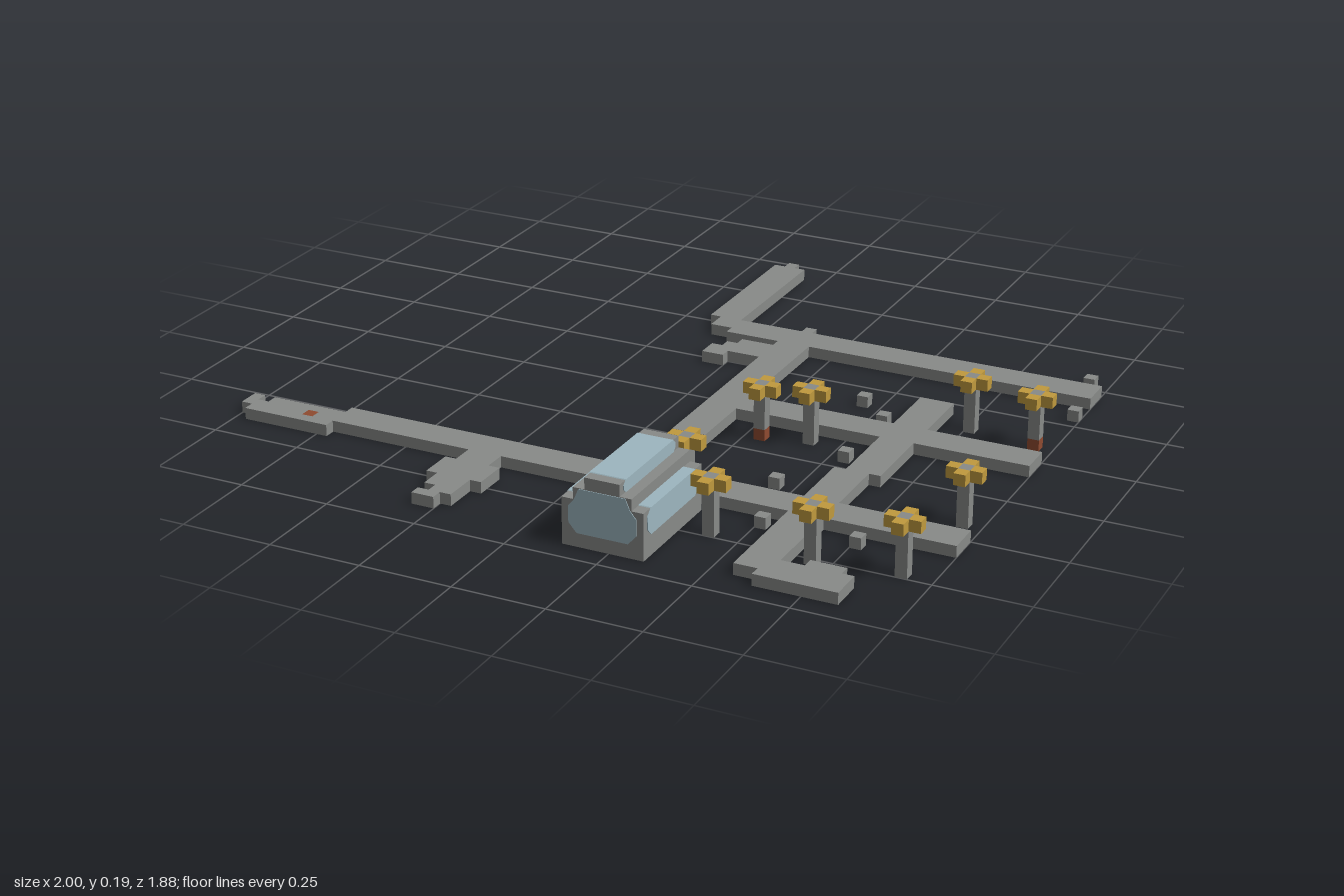
import * as THREE from 'three';

const V = 1 / 32; // one block

export function createModel() {
  const root = new THREE.Group();
  root.name = 'blockSettlement';
  const mat = (name, color) => {
    const m = new THREE.MeshStandardMaterial({ color });
    m.name = name;
    return m;
  };
  const stone = mat('stone', 0x888a88);
  const glass = mat('glass', 0x9db6bf);
  const gold = mat('gold', 0xc09a3e);
  const rust = mat('rust', 0x8f4a30);

  const add = (parent, name, geo, material) => {
    const m = new THREE.Mesh(geo, material);
    m.name = name;
    parent.add(m);
    return m;
  };
  const group = (name) => {
    const g = new THREE.Group();
    g.name = name;
    root.add(g);
    return g;
  };
  // Box given by its limits in blocks
  const block = (parent, name, material, x0, x1, y0, y1, z0, z1) =>
    add(parent, name, new THREE.BoxGeometry((x1 - x0) * V, (y1 - y0) * V, (z1 - z0) * V)
      .translate((x0 + x1) / 2 * V, (y0 + y1) / 2 * V, (z0 + z1) / 2 * V), material);
  // Outline in blocks, extruded along z
  const slab = (points, depth, hole) => {
    const v = (list) => list.map(([x, y]) => new THREE.Vector2(x * V, y * V));
    const shape = new THREE.Shape(v(points));
    if (hole) shape.holes.push(new THREE.Path(v(hole)));
    return new THREE.ExtrudeGeometry(shape, { depth: depth * V, bevelEnabled: false });
  };

  // Paths: x0, x1, z0, z1
  const paths = group('paths');
  [
    [-5, -2, -29, -15], [-4, -3, -30, -29], [-4, -2, -15, -13], // north-west arm
    [-2, 32, -15, -12], [4, 5, -16, -15], // north road
    [3, 6, -12, 9], [0, 3, -11, -8], [-1, 0, -10, -9], [-2, 0, -9, -7], // middle lane and spur
    [6, 19, 0, 3], [22, 32, 0, 3], [19, 22, -6, 10], // crossing
    [18, 21, 10, 16], [6, 32, 16, 19], [18, 21, 19, 27], // south crossing
    [18, 20, 27, 29], [20, 27, 27, 30], [23, 26, 26, 27],
    [-23, 6, 17, 20], [-30, -23, 18, 19], [-30, -23, 20, 21], // west road
    [-30, -26, 19, 20], [-25, -23, 19, 20],
    [-31, -30, 19, 21], [-32, -31, 18, 20],
    [-10, -7, 20, 22], [-11, -6, 22, 25], [-10, -7, 25, 27], // west spur
    [-9, -7, 27, 28], [-10, -8, 28, 29],
  ].forEach(([x0, x1, z0, z1]) => block(paths, 'path', stone, x0, x1, 0, 1, z0, z1));
  block(paths, 'rustBlock', rust, -26, -25, 0, 1, 19, 20);

  // Loose single blocks
  const loose = group('looseBlocks');
  [[30, -17], [31, -10], [14, -5], [17, -2], [17, 6], [14, 13], [16, 20], [24, 20]]
    .forEach(([x, z]) => block(loose, 'looseBlock', stone, x, x + 1, 0, 1, z, z + 1));

  // Lamp posts with cross-shaped heads; some stand on a rust block
  [
    [9, 5, true], [13, 4], [24, -4], [30, -3, true], [30, 13],
    [13, 23], [22, 24], [29, 23], [8, 17],
  ].forEach(([x, z, rusty]) => {
    const post = group('lampPost');
    const onPath = z === 17;
    if (!onPath) block(post, 'postBase', rusty ? rust : stone, x, x + 1, 0, 1, z, z + 1);
    block(post, 'postShaft', stone, x, x + 1, 1, 5, z, z + 1);
    [[1, 0], [-1, 0], [0, 1], [0, -1]].forEach(([dx, dz]) =>
      block(post, 'postArm', gold, x + dx, x + dx + 1, 4, 5, z + dz, z + dz + 1));
  });

  // Hollow stepped glasshouse
  const house = group('glasshouse');
  const wall = [[4, 0], [11, 0], [11, 4], [10, 4], [10, 5], [9, 5], [9, 6],
    [6, 6], [6, 5], [5, 5], [5, 4], [4, 4]];
  const door = [[7, 1], [7, 3], [8, 3], [8, 1]];
  add(house, 'frontWall', slab(wall, 1).translate(0, 0, 29 * V), stone);
  add(house, 'backWall', slab(wall, 1, door).translate(0, 0, 20 * V), stone);
  [[4, 5, 0, 4], [10, 11, 0, 4], [5, 6, 4, 5], [9, 10, 4, 5], [6, 9, 5, 6]]
    .forEach(([x0, x1, y0, y1]) => block(house, 'shell', stone, x0, x1, y0, y1, 21, 29));
  block(house, 'doorStep', stone, 7, 8, 0, 2, 19, 20);

  // End panes, slightly proud of the wall on both sides
  const rim = [[9.7, 1.2], [10.4, 2], [10.4, 3.4], [9.9, 4], [9.5, 4.95],
    [5.5, 4.95], [5.1, 4], [4.6, 3.4], [4.6, 2], [5.3, 1.2]];
  add(house, 'frontPane', slab(rim, 1.12).translate(0, 0, 28.94 * V), glass);
  add(house, 'backPane', slab([...rim, [7, 1.2], [7, 3], [8, 3], [8, 1.2]], 1.12)
    .translate(0, 0, 19.94 * V), glass);

  // Side and roof panes: chamfered outline in z and y, extruded across x
  const pane = (name, x0, x1, y0, y1, c) => {
    const a = 20.6, b = 29.4;
    const outline = [[a + c, y0], [b - c, y0], [b, y0 + c], [b, y1 - c],
      [b - c, y1], [a + c, y1], [a, y1 - c], [a, y0 + c]];
    add(house, name, slab(outline, x1 - x0).rotateY(-Math.PI / 2).translate(x1 * V, 0, 0), glass);
  };
  pane('sidePane', 3.94, 5.06, 1.8, 4.06, 0.6);
  pane('sidePane', 9.94, 11.06, 1.8, 4.06, 0.6);
  pane('roofPane', 5.94, 9.06, 4.94, 6.06, 0.4);

  return root;
}
